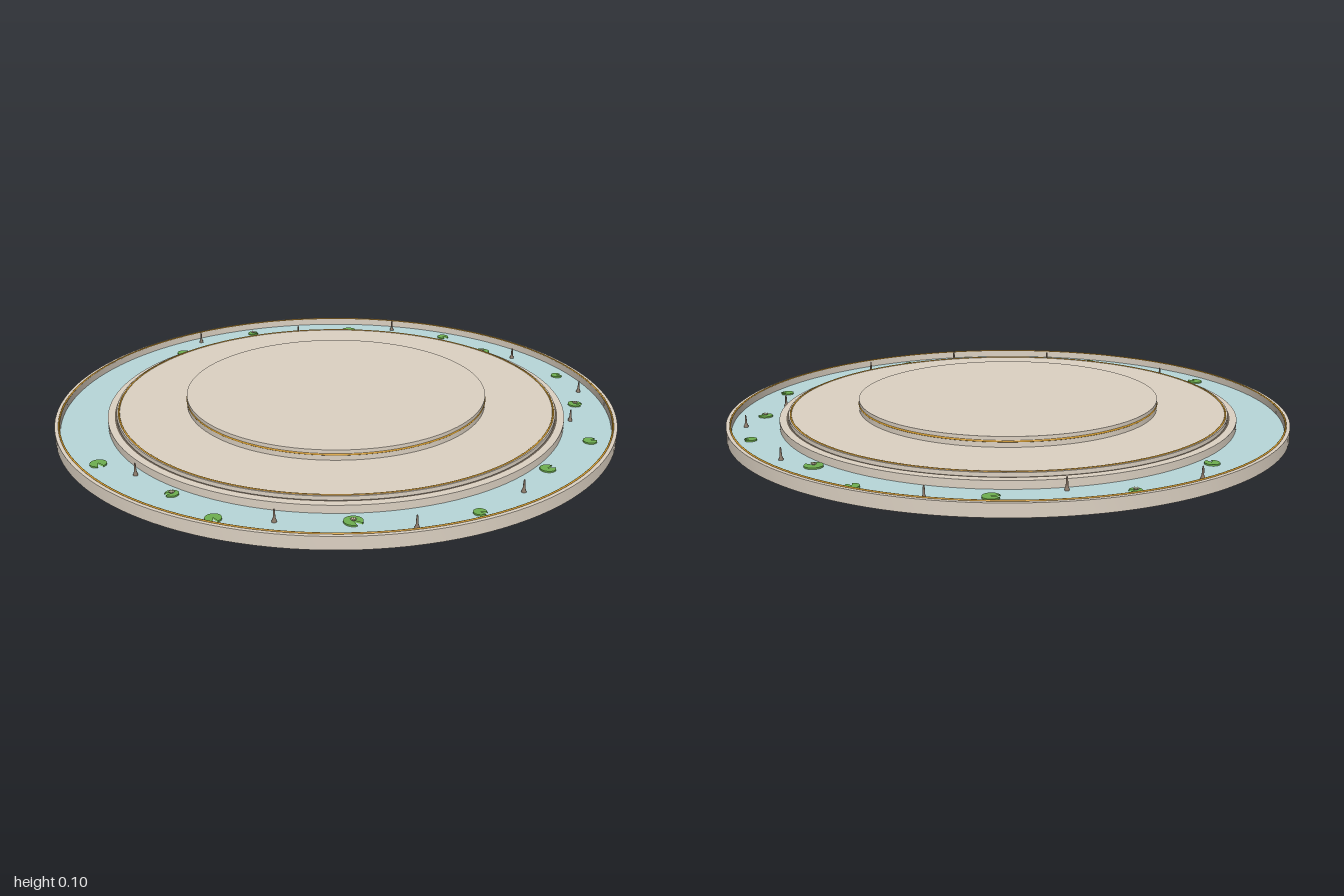
import * as THREE from 'three';
import { toCreasedNormals } from 'three/addons/utils/BufferGeometryUtils.js';

export function createModel() {
  const mat = (name, color) => {
    const m = new THREE.MeshStandardMaterial({ color });
    m.name = name;
    return m;
  };
  const stone = mat('stone', 0xddd2c3);
  const water = mat('water', 0xb8d8da);
  const underside = mat('underside blue', 0xa8c6c8);
  const gold = mat('gold', 0xd9a030);
  const darkTrim = mat('dark trim', 0x6a5f52);
  const leaf = mat('leaf green', 0x6fb050);
  const blossom = mat('blossom cream', 0xf0e6c0);
  const wood = mat('post brown', 0x8a7868);
  leaf.side = THREE.DoubleSide;

  const model = new THREE.Group();
  model.name = 'lilyPondPlatform';
  const add = (name, geometry, material, parent = model) => {
    const mesh = new THREE.Mesh(geometry, material);
    mesh.name = name;
    parent.add(mesh);
    return mesh;
  };
  // Turned parts: the profile runs up the outside, then inwards
  const turn = (name, profile, material) => add(name, toCreasedNormals(
    new THREE.LatheGeometry(profile.map(([r, y]) => new THREE.Vector2(r, y)), 128), 0.5), material);
  // Thin round trim lying level
  const trim = (name, radius, tube, y) => {
    const mesh = add(name, new THREE.TorusGeometry(radius, tube, 10, 128), gold);
    mesh.rotation.x = Math.PI / 2;
    mesh.position.y = y;
  };

  // Pool: underside, outer wall and water
  turn('poolBase', [[0, 0], [0.998, 0]], underside);
  turn('poolWall', [[0.998, 0], [1, 0.001], [1, 0.045], [0.982, 0.045], [0.982, 0.006]], stone);
  trim('poolWallTrim', 0.985, 0.003, 0.046);
  turn('water', [[0.985, 0.02], [0.8, 0.02]], water);

  // Kerb and main platform
  turn('kerb', [[0.818, 0.006], [0.818, 0.047], [0.78, 0.047]], stone);
  turn('platformGroove', [[0.794, 0.0475], [0.786, 0.0475]], darkTrim);
  turn('platform', [[0.787, 0.047], [0.787, 0.061], [0, 0.061]], stone);
  trim('platformTrim', 0.779, 0.003, 0.061);

  // Raised central dais
  turn('dais', [[0.538, 0.061], [0.538, 0.097], [0, 0.097]], stone);
  trim('daisTrim', 0.536, 0.004, 0.081);

  // Lily pads: x, z, radius, notch direction, flower
  const pads = [
    [-0.015, -0.89, 0.028, 4.7, 0], [0.4, -0.83, 0.023, 0.6, 0], [0.56, -0.65, 0.031, 0.8, 1],
    [0.84, -0.39, 0.021, 2.0, 0], [0.875, -0.095, 0.025, 1.2, 1], [0.885, 0.235, 0.024, 2.0, 0],
    [0.72, 0.465, 0.026, 2.2, 0], [0.49, 0.78, 0.021, 1.2, 0], [0.12, 0.865, 0.03, 0.8, 1],
    [-0.29, 0.88, 0.026, 0.4, 0], [-0.445, 0.735, 0.022, 5.2, 1], [-0.73, 0.545, 0.028, 0.6, 0],
    [-0.68, -0.535, 0.025, 0.3, 0], [-0.43, -0.81, 0.021, 2.0, 1]
  ];
  const petal = new THREE.SphereGeometry(1, 10, 6);
  for (const [x, z, r, notch, flower] of pads) {
    const lily = new THREE.Group();
    lily.name = 'lily';
    lily.position.set(x, 0.0235, z);
    model.add(lily);
    const pad = add('lilyPad',
      new THREE.CylinderGeometry(r, r, 0.005, 20, 1, false, 0.35, Math.PI * 2 - 0.7), leaf, lily);
    pad.rotation.y = notch;
    if (!flower) continue;
    for (let i = 0; i < 6; i++) {
      const spoke = new THREE.Group();
      spoke.name = 'flowerSpoke';
      spoke.rotation.y = i * Math.PI / 3;
      lily.add(spoke);
      const p = add('petal', petal, blossom, spoke);
      p.scale.set(0.006, 0.002, 0.003);
      p.position.set(0.005, 0.006, 0);
      p.rotation.z = 0.6;
    }
  }

  // Small posts standing in the water
  const posts = [[0.175, -0.915], [0.68, -0.59], [0.905, -0.23], [0.84, 0.055], [0.63, 0.63],
    [0.305, 0.885], [-0.11, 0.88], [-0.59, 0.61], [-0.635, -0.685], [-0.23, -0.81]];
  const post = new THREE.LatheGeometry([[0.008, 0], [0.007, 0.006], [0.004, 0.014], [0.003, 0.036],
    [0.002, 0.042], [0, 0.044]].map(([r, y]) => new THREE.Vector2(r, y)), 12);
  for (const [x, z] of posts) add('post', post, wood).position.set(x, 0.02, z);
  return model;
}
